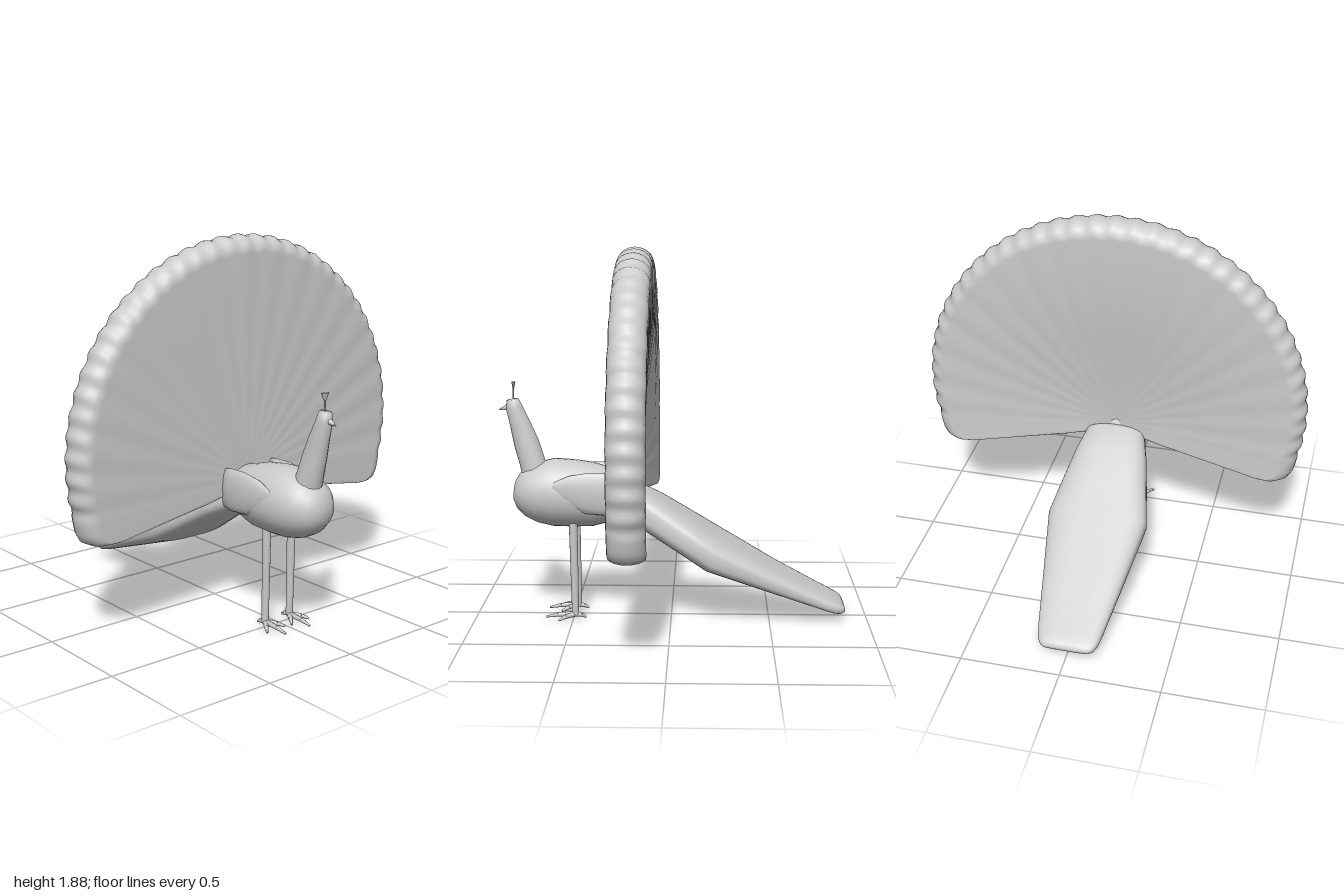
import * as THREE from 'three';
import { mergeVertices } from 'three/addons/utils/BufferGeometryUtils.js';

const material = new THREE.MeshStandardMaterial({ color: 0xcccccc, side: THREE.DoubleSide });

function add(parent, name, geometry) {
  const mesh = new THREE.Mesh(geometry, material);
  mesh.name = name;
  parent.add(mesh);
}

// Smooth skin over rows of closed rings; point(i, j) gives [x, y, z]
function skin(rows, cols, point) {
  const pos = [], index = [];
  for (let i = 0; i < rows; i++) {
    for (let j = 0; j < cols; j++) {
      pos.push(...point(i, j));
      if (i === rows - 1) continue;
      const k = (j + 1) % cols, a = i * cols, b = a + cols;
      index.push(a + j, b + j, a + k, a + k, b + j, b + k);
    }
  }
  let g = new THREE.BufferGeometry();
  g.setAttribute('position', new THREE.Float32BufferAttribute(pos, 3));
  g.setIndex(index);
  g = mergeVertices(g, 1e-5);
  g.computeVertexNormals();
  return g;
}

// Sections [y, z, halfWidth, halfHeight] along a path in the yz plane
function loft(sections, { x = 0, cols = 24, power = 1 } = {}) {
  const round = (v) => Math.sign(v) * Math.abs(v) ** power;
  return skin(sections.length, cols, (i, j) => {
    const [y, z, w, h] = sections[i];
    const p = sections[Math.max(i - 1, 0)], n = sections[Math.min(i + 1, sections.length - 1)];
    const dy = n[0] - p[0], dz = n[1] - p[1], len = Math.hypot(dy, dz);
    const a = (j / cols) * Math.PI * 2;
    const u = round(Math.sin(a)) * h;
    return [x + round(Math.cos(a)) * w, y - (dz / len) * u, z + (dy / len) * u];
  });
}

// Tapered round rod between two points
function rod(a, b, ra, rb, sides = 8) {
  const from = new THREE.Vector3(...a), to = new THREE.Vector3(...b);
  const dir = to.clone().sub(from);
  const g = new THREE.CylinderGeometry(rb, ra, dir.length(), sides);
  g.applyQuaternion(new THREE.Quaternion().setFromUnitVectors(new THREE.Vector3(0, 1, 0), dir.normalize()));
  return g.translate(...from.add(to).multiplyScalar(0.5).toArray());
}

// Upright fan: flat front, back hollowed towards the hub, thick scalloped rim
function fanGeometry() {
  const outline = [], steps = 210, scallops = 36;
  for (let k = 0; k <= steps; k++) {
    const t = k / steps, a = THREE.MathUtils.degToRad(-15 + 210 * t);
    const r = 0.992 + 0.006 * Math.cos(t * scallops * Math.PI * 2);
    outline.push([Math.cos(a) * r, 0.888 + Math.sin(a) * r, t]);
  }
  const lower = [[0.952, 0.57], [0.93, 0.53], [0.89, 0.51], [0.83, 0.508], [0.65, 0.535],
    [0.45, 0.565], [0.3, 0.585], [0.15, 0.61], [0.06, 0.62]];
  lower.forEach(([x, y]) => outline.push([-x, y, 1]));
  outline.push([0, 0.625, 1]);
  [...lower].reverse().forEach(([x, y]) => outline.push([x, y, 0]));

  // Profile [scale, inset, side], side running from 1 (front) to -1 (back)
  const profile = [[0, 0, 1]];
  for (const s of [0.25, 0.5, 0.75]) profile.push([s, 1, 1]);
  for (let k = 0; k <= 10; k++) {
    const a = Math.PI * (0.5 - k / 10);
    profile.push([1, 1 - Math.cos(a), Math.sin(a)]);
  }
  for (const s of [0.75, 0.5, 0.25]) profile.push([s, 1, -1]);
  profile.push([0, 0, -1]);

  const hubY = 0.7, front = 0.27;
  return skin(profile.length, outline.length, (i, j) => {
    const [x, y, t] = outline[j], [scale, inset, side] = profile[i];
    const len = Math.hypot(x, y - hubY);
    const s = scale * (1 - (inset * Math.min(0.08, len * 0.5)) / len);
    const back = 0.2 - 0.11 * Math.min(1, (len * s) / 0.85);
    const ripple = 0.0015 * s * Math.sin(t * scallops * Math.PI);
    const z = (front + back) / 2 + ((front - back) / 2) * side + ripple;
    return [x * s, hubY + (y - hubY) * s, z];
  });
}

export function createModel() {
  const bird = new THREE.Group();
  bird.name = 'bird';

  add(bird, 'tailFan', fanGeometry());

  // Plump body narrowing into the fan
  add(bird, 'body', loft([
    [0.655, 0.806, 0, 0], [0.655, 0.8, 0.05, 0.05], [0.652, 0.78, 0.09, 0.09], [0.65, 0.74, 0.125, 0.128],
    [0.645, 0.68, 0.152, 0.155], [0.645, 0.6, 0.166, 0.174], [0.64, 0.5, 0.168, 0.172],
    [0.635, 0.4, 0.16, 0.164], [0.64, 0.33, 0.148, 0.146], [0.655, 0.26, 0.125, 0.11],
    [0.655, 0.2, 0.07, 0.07], [0.655, 0.19, 0, 0],
  ], { cols: 32 }));

  // Neck and head, from the flat crown down into the breast
  add(bird, 'neck', loft([
    [1.125, 0.804, 0, 0], [1.122, 0.803, 0.03, 0.032], [1.08, 0.796, 0.038, 0.042], [1.0, 0.768, 0.044, 0.052],
    [0.9, 0.737, 0.053, 0.064], [0.8, 0.708, 0.063, 0.066], [0.72, 0.685, 0.07, 0.075],
  ], { cols: 16 }));
  add(bird, 'beak', rod([0, 1.085, 0.82], [0, 1.068, 0.872], 0.018, 0.002));

  // Head crest
  add(bird, 'crestStem', rod([0, 1.11, 0.8], [0, 1.18, 0.797], 0.004, 0.004, 6));
  const crest = new THREE.CylinderGeometry(0.026, 0.008, 0.035, 8).scale(1, 1, 0.4);
  add(bird, 'crestTip', crest.translate(0, 1.193, 0.797));

  // Long train sloping back to the ground, thickest up to its bend
  add(bird, 'train', loft([
    [0.632, 0.245, 0, 0], [0.628, 0.238, 0.11, 0.06], [0.612, 0.21, 0.155, 0.085], [0.55, 0.1, 0.188, 0.09],
    [0.45, -0.06, 0.225, 0.09], [0.351, -0.215, 0.258, 0.09],
    [0.21, -0.52, 0.207, 0.058], [0.088, -0.8, 0.16, 0.036], [0.072, -0.84, 0.15, 0.033],
    [0.062, -0.867, 0.135, 0.026], [0.057, -0.882, 0.115, 0.012], [0.056, -0.885, 0, 0],
  ], { cols: 40, power: 0.65 }));

  for (const [side, s] of [['left', 1], ['right', -1]]) {
    // Folded wing
    add(bird, side + 'Wing', loft([
      [0.7, 0.6, 0, 0], [0.7, 0.59, 0.012, 0.025], [0.685, 0.52, 0.026, 0.075], [0.67, 0.42, 0.032, 0.105],
      [0.665, 0.32, 0.03, 0.108], [0.665, 0.26, 0.022, 0.1], [0.665, 0.25, 0, 0],
    ], { x: s * 0.146, cols: 16 }));

    // Leg and foot
    const x = s * 0.08;
    add(bird, side + 'Leg', rod([x, 0.02, 0.49], [x, 0.53, 0.497], 0.018, 0.022, 12));
    const foot = new THREE.Group();
    foot.name = side + 'Foot';
    bird.add(foot);
    for (const [dx, z] of [[-0.06, 0.575], [0, 0.64], [0.062, 0.57], [0, 0.435]]) {
      const knuckle = [x + dx * 0.6, 0.018, 0.49 + (z - 0.49) * 0.6];
      add(foot, 'toe', rod([x, 0.022, 0.49], knuckle, 0.014, 0.011));
      add(foot, 'claw', rod(knuckle, [x + dx, 0.006, z], 0.011, 0.005));
    }
  }
  return bird;
}
